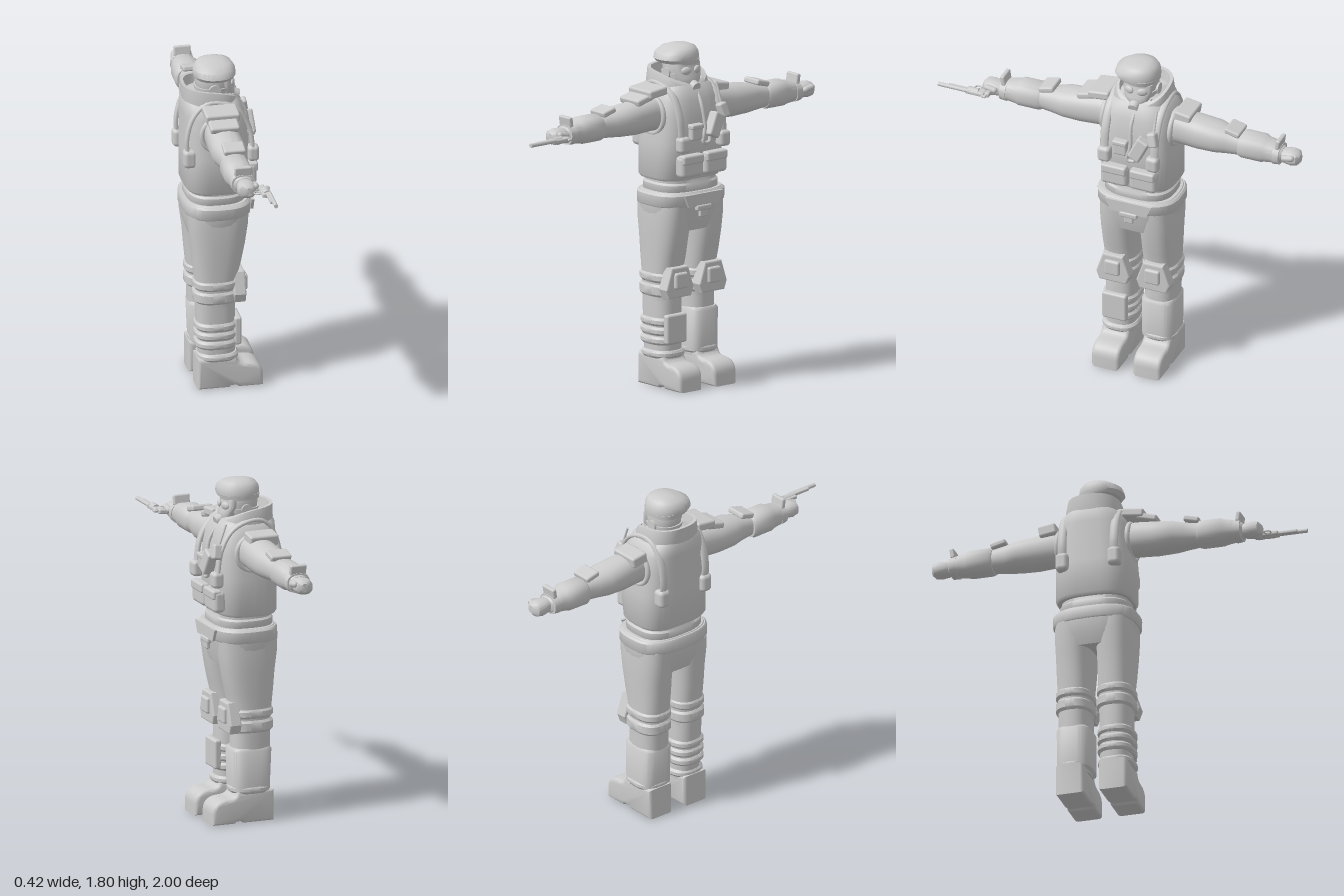
import * as THREE from 'three';
import { toCreasedNormals } from 'three/addons/utils/BufferGeometryUtils.js';
import { RoundedBoxGeometry } from 'three/addons/geometries/RoundedBoxGeometry.js';

const MID = -0.105; // body centre plane in z; the figure faces +x

// Closed skin through rounded sections [y, xMin, xMax, zMin, zMax] stacked along y
function loft(sections, power = 2.6, crease = 0.7, sides = 36) {
  const pos = [], idx = [], n = sections.length;
  const bend = v => Math.sign(v) * Math.pow(Math.abs(v), 2 / power);
  for (const [y, x0, x1, z0, z1] of sections) {
    for (let j = 0; j < sides; j++) {
      const a = j / sides * Math.PI * 2;
      pos.push((x0 + x1) / 2 + bend(Math.cos(a)) * (x1 - x0) / 2, y, (z0 + z1) / 2 + bend(Math.sin(a)) * (z1 - z0) / 2);
    }
  }
  for (const s of [sections[0], sections[n - 1]]) pos.push((s[1] + s[2]) / 2, s[0], (s[3] + s[4]) / 2);
  for (let j = 0; j < sides; j++) {
    const k = (j + 1) % sides;
    for (let i = 0; i < n - 1; i++) {
      const a = i * sides, b = a + sides;
      idx.push(a + j, b + j, a + k, b + j, b + k, a + k);
    }
    idx.push(n * sides, j, k, n * sides + 1, (n - 1) * sides + k, (n - 1) * sides + j);
  }
  const g = new THREE.BufferGeometry();
  g.setAttribute('position', new THREE.Float32BufferAttribute(pos, 3));
  g.setIndex(idx);
  return toCreasedNormals(g, crease);
}

// Skin along z from sections [z, xMin, xMax, yMin, yMax]
const loftZ = (s, power) => loft(s.map(([z, x0, x1, y0, y1]) => [z, x0, x1, -y1, -y0]), power).rotateX(Math.PI / 2);

// Rounded block given by its limits, with an optional turn about x and z
function block(x0, x1, y0, y1, z0, z1, rx = 0, rz = 0, r = 0.012) {
  const w = x1 - x0, h = y1 - y0, d = z1 - z0;
  return new RoundedBoxGeometry(w, h, d, 2, Math.min(r, w / 3, h / 3, d / 3))
    .rotateZ(rz).rotateX(rx).translate((x0 + x1) / 2, (y0 + y1) / 2, (z0 + z1) / 2);
}

// Flat strap following points [x, y] at depth z
function strap(points, z, r = 0.012, widen = 2) {
  const curve = new THREE.CatmullRomCurve3(points.map(([x, y]) => new THREE.Vector3(x, y, 0)));
  return new THREE.TubeGeometry(curve, 32, r, 8).scale(1, 1, widen).translate(0, 0, z);
}

// Reflection across the body plane, keeping faces outward
function mirrored(geo) {
  const g = geo.index ? geo.toNonIndexed() : geo.clone();
  for (const key of ['position', 'normal']) {
    const a = g.attributes[key];
    for (let i = 0; i < a.count; i++) a.setZ(i, key === 'position' ? 2 * MID - a.getZ(i) : -a.getZ(i));
    for (let i = 0; i < a.count; i += 3) {
      const p = [a.getX(i + 1), a.getY(i + 1), a.getZ(i + 1)];
      a.setXYZ(i + 1, a.getX(i + 2), a.getY(i + 2), a.getZ(i + 2));
      a.setXYZ(i + 2, ...p);
    }
  }
  return g;
}

export function createModel() {
  const model = new THREE.Group();
  model.name = 'soldier';
  const grey = new THREE.MeshStandardMaterial({ color: 0xcccccc });
  grey.name = 'light grey';
  const add = (name, geo) => {
    const m = new THREE.Mesh(geo, grey);
    m.name = name;
    model.add(m);
  };
  const pair = (name, geo) => { add(name + 'Right', geo); add(name + 'Left', mirrored(geo)); };

  // Torso, waist and hips
  add('vest', loft([[1.1, -0.185, 0.12, -0.3, 0.09], [1.115, -0.195, 0.13, -0.31, 0.1], [1.3, -0.195, 0.145, -0.31, 0.1],
    [1.43, -0.195, 0.14, -0.3, 0.09], [1.52, -0.195, 0.125, -0.29, 0.08], [1.58, -0.195, 0.1, -0.26, 0.05], [1.61, -0.18, 0.07, -0.22, 0.01]], 3.2));
  add('waistBand', loft([[1.02, -0.17, 0.12, -0.28, 0.07], [1.04, -0.18, 0.13, -0.295, 0.085], [1.075, -0.18, 0.13, -0.295, 0.085],
    [1.085, -0.172, 0.122, -0.285, 0.075], [1.12, -0.172, 0.122, -0.285, 0.075]], 2.8));
  add('hips', loft([[0.83, -0.165, 0.115, -0.29, 0.08], [0.89, -0.185, 0.132, -0.315, 0.105], [0.965, -0.195, 0.145, -0.32, 0.11],
    [1.025, -0.195, 0.155, -0.325, 0.115], [1.04, -0.185, 0.145, -0.31, 0.1]], 2.8));
  add('belt', loft([[0.965, -0.198, 0.15, -0.325, 0.115], [0.972, -0.202, 0.155, -0.33, 0.12], [1.025, -0.2, 0.158, -0.33, 0.12], [1.035, -0.195, 0.15, -0.32, 0.11]], 2.8));
  const flap = new THREE.Shape([[-0.13, 1.03], [-0.1, 0.965], [0.1, 0.965], [0.13, 1.03]].map(p => new THREE.Vector2(...p)));
  add('beltFlap', new THREE.ExtrudeGeometry(flap, { depth: 0.015, bevelEnabled: false }).rotateY(Math.PI / 2).translate(0.15, 0, MID));
  add('buckle', block(0.145, 0.172, 0.94, 0.97, MID - 0.05, MID + 0.05));
  add('buckleTab', block(0.145, 0.165, 0.905, 0.95, MID - 0.025, MID + 0.025));

  // Tall collar, cut lower towards the front
  const collar = loft([[1.53, -0.185, 0.09, -0.25, 0.04], [1.6, -0.195, 0.1, -0.26, 0.05], [1.67, -0.197, 0.09, -0.245, 0.035],
    [1.67, -0.18, 0.075, -0.23, 0.02], [1.6, -0.17, 0.07, -0.22, 0.01]], 2.5);
  const cp = collar.attributes.position;
  for (let i = 0; i < cp.count; i++) {
    const t = Math.max(0, (cp.getX(i) + 0.195) / 0.29);
    const lift = (cp.getY(i) - 1.53) * (1 - 0.22 * t - 0.4 * t ** 5);
    cp.setY(i, 1.53 + lift);
  }
  add('collar', toCreasedNormals(collar, 0.7));

  // Head, breathing mask and beret
  add('head', loft([[1.53, -0.09, 0.03, -0.16, -0.05], [1.59, -0.1, 0.05, -0.175, -0.035], [1.65, -0.12, 0.062, -0.187, -0.023],
    [1.71, -0.125, 0.064, -0.19, -0.02], [1.76, -0.1, 0.04, -0.17, -0.04]], 2.2));
  add('maskFace', loft([[1.555, 0, 0.065, -0.14, -0.07], [1.59, 0, 0.085, -0.165, -0.045], [1.63, 0, 0.082, -0.175, -0.035],
    [1.66, 0, 0.068, -0.185, -0.025], [1.7, 0, 0.062, -0.185, -0.025]], 2.2));
  add('maskFilter', new THREE.CylinderGeometry(0.026, 0.03, 0.045, 20).rotateZ(-Math.PI / 2 - 0.3).translate(0.085, 1.585, MID));
  pair('maskCheek', new THREE.CylinderGeometry(0.024, 0.026, 0.03, 18).rotateX(Math.PI / 2 - 0.3).translate(0.045, 1.59, -0.035));
  pair('maskLens', new THREE.SphereGeometry(0.028, 18, 12).scale(0.45, 0.75, 1).rotateY(-0.35).translate(0.066, 1.665, -0.068));
  pair('earCup', new THREE.CylinderGeometry(0.03, 0.03, 0.02, 18).rotateX(Math.PI / 2).translate(-0.035, 1.645, -0.022));
  add('headStrap', loft([[1.63, -0.126, 0.066, -0.192, -0.018], [1.65, -0.128, 0.068, -0.194, -0.016]], 2.2));
  add('beretBand', loft([[1.695, -0.13, 0.073, -0.195, -0.015], [1.72, -0.134, 0.08, -0.197, -0.011]], 2.2));
  add('beret', loft([[1.705, -0.132, 0.078, -0.196, 0.02], [1.725, -0.138, 0.083, -0.198, 0.04], [1.755, -0.135, 0.08, -0.194, 0.03],
    [1.78, -0.115, 0.062, -0.178, -0.01], [1.792, -0.08, 0.03, -0.15, -0.06], [1.796, -0.05, 0, -0.13, -0.08]], 2.2));

  // Arms with sleeves, bracers and fists
  pair('upperArm', loftZ([[0.03, -0.11, 0.06, 1.36, 1.54], [0.12, -0.115, 0.055, 1.36, 1.54], [0.22, -0.12, 0.06, 1.355, 1.53],
    [0.32, -0.12, 0.062, 1.36, 1.52], [0.38, -0.1, 0.045, 1.365, 1.505], [0.44, -0.09, 0.036, 1.37, 1.495], [0.48, -0.09, 0.034, 1.37, 1.49]], 2.3));
  pair('forearm', loftZ([[0.45, -0.1, 0.035, 1.365, 1.49], [0.465, -0.11, 0.042, 1.36, 1.5], [0.575, -0.108, 0.042, 1.36, 1.5],
    [0.595, -0.1, 0.035, 1.365, 1.49], [0.63, -0.095, 0.032, 1.37, 1.485], [0.675, -0.088, 0.03, 1.375, 1.47], [0.69, -0.07, 0.015, 1.39, 1.46]], 2.4));
  pair('cuff', loftZ([[0.645, -0.095, 0.036, 1.368, 1.48], [0.68, -0.092, 0.034, 1.372, 1.475]], 2.4));
  pair('fist', loftZ([[0.67, -0.06, 0.01, 1.395, 1.455], [0.7, -0.07, 0.018, 1.385, 1.46], [0.74, -0.076, 0.022, 1.38, 1.465],
    [0.77, -0.07, 0.018, 1.385, 1.46], [0.785, -0.045, 0, 1.4, 1.445]], 2.5));
  pair('thumb', new THREE.CapsuleGeometry(0.017, 0.04, 4, 10).rotateX(Math.PI / 2 - 0.2).translate(0.02, 1.435, 0.73));
  pair('elbowPlate', block(-0.085, 0.03, 1.495, 1.525, 0.375, 0.46, 0.25));
  pair('wristPlate', block(-0.075, 0.015, 1.465, 1.52, 0.655, 0.68, 0.15));
  pair('armSeam', new THREE.TorusGeometry(0.095, 0.014, 10, 36).translate(-0.03, 1.44, 0.085));
  add('shoulderPadUpper', block(-0.12, 0.06, 1.55, 1.595, 0.05, 0.17, 0.12));
  add('shoulderPadLower', block(-0.11, 0.045, 1.525, 1.56, 0.13, 0.24, 0.25));
  add('shoulderBandLeft', block(-0.13, 0.03, 1.5, 1.56, -0.395, -0.3, -0.15));

  // Harness and pouches on the vest
  pair('harnessStrap', strap([[-0.185, 1.3], [-0.195, 1.4], [-0.16, 1.53], [-0.09, 1.6], [0, 1.595], [0.08, 1.55], [0.135, 1.45], [0.155, 1.32]], 0.035));
  pair('backPouch', block(-0.215, -0.145, 1.25, 1.35, 0, 0.07, 0, 0, 0.025));
  pair('frontPouch', block(0.125, 0.185, 1.26, 1.345, -0.005, 0.065, 0, 0, 0.025));
  pair('bellyPouch', block(0.11, 0.175, 1.125, 1.24, -0.1, 0.05, 0, 0, 0.022));
  pair('bellyPouchFlap', block(0.13, 0.182, 1.195, 1.245, -0.095, 0.045));
  add('chestBox', block(0.125, 0.17, 1.315, 1.4, -0.095, -0.02));
  add('chestBoxLid', block(0.13, 0.178, 1.375, 1.402, -0.098, -0.017));
  add('chestHolster', block(0.14, 0.2, 1.32, 1.45, -0.205, -0.135, -0.45, 0.08));
  add('radio', block(0.13, 0.18, 1.41, 1.49, -0.265, -0.215, 0.25, 0.2));
  add('antenna', new THREE.CylinderGeometry(0.006, 0.006, 0.13, 8).rotateZ(0.35).translate(0.125, 1.53, -0.24));
  const hosePath = [[0.09, 1.57, -0.115], [0.14, 1.49, -0.11], [0.16, 1.38, -0.115], [0.165, 1.3, -0.1], [0.165, 1.3, -0.14], [0.16, 1.36, -0.15]];
  add('hose', new THREE.TubeGeometry(new THREE.CatmullRomCurve3(hosePath.map(p => new THREE.Vector3(...p))), 40, 0.01, 8));

  // Trouser legs and knee guards
  pair('thigh', loft([[0.46, -0.14, 0.06, -0.082, 0.092], [0.6, -0.15, 0.07, -0.085, 0.095], [0.7, -0.16, 0.095, -0.089, 0.1],
    [0.8, -0.168, 0.115, -0.092, 0.104], [0.9, -0.182, 0.13, -0.1, 0.108], [0.97, -0.185, 0.135, -0.1, 0.105]], 2.6));
  const ring = (y0, y1, x0, x1, z0, z1) => loft([[y0, x0 + 0.01, x1 - 0.01, z0 + 0.01, z1 - 0.01], [y0 + 0.012, x0, x1, z0, z1],
    [y1 - 0.012, x0, x1, z0, z1], [y1, x0 + 0.01, x1 - 0.01, z0 + 0.01, z1 - 0.01]], 2.6);
  for (const [y0, y1] of [[0.555, 0.605], [0.48, 0.545]]) pair('kneeBand', ring(y0, y1, -0.158, 0.08, -0.092, 0.104));
  const knee = new THREE.Shape([[-0.085, 0.53], [-0.05, 0.635], [0.05, 0.635], [0.085, 0.53], [0.07, 0.49], [-0.07, 0.49]].map(p => new THREE.Vector2(...p)));
  pair('kneePad', new THREE.ExtrudeGeometry(knee, { depth: 0.05, bevelSize: 0.008, bevelThickness: 0.008, bevelSegments: 2 })
    .rotateY(Math.PI / 2).translate(0.05, 0, 0.008));
  pair('kneeCap', block(0.085, 0.125, 0.53, 0.615, -0.035, 0.05));

  // Lower legs: banded guard on the right, smooth gaiter on the left
  pair('shin', loft([[0.14, -0.13, 0.06, -0.075, 0.085], [0.3, -0.14, 0.065, -0.08, 0.09], [0.5, -0.145, 0.06, -0.08, 0.092]], 2.6));
  for (const y of [0.225, 0.275, 0.325]) add('shinBand', ring(y, y + 0.043, -0.15, 0.072, -0.09, 0.105));
  add('shinPlate', block(0.05, 0.088, 0.235, 0.39, -0.058, 0.078));
  add('gaiter', loft([[0.165, -0.135, 0.072, -0.308, -0.122], [0.38, -0.145, 0.078, -0.308, -0.122], [0.395, -0.135, 0.068, -0.298, -0.132]], 3.4));
  pair('ankleBand', ring(0.155, 0.195, -0.14, 0.078, -0.09, 0.105));

  // Boots with an arched sole
  const side = new THREE.Shape();
  side.moveTo(-0.125, 0.02).lineTo(-0.125, 0.15).lineTo(0.045, 0.15).quadraticCurveTo(0.06, 0.115, 0.11, 0.113)
    .quadraticCurveTo(0.18, 0.112, 0.18, 0.06).lineTo(0.18, 0.02).lineTo(0.08, 0.02).lineTo(0.07, 0.03).lineTo(0.025, 0.03).lineTo(0.015, 0.02);
  const boot = new THREE.ExtrudeGeometry(side, { depth: 0.115, bevelSize: 0.02, bevelThickness: 0.02, bevelSegments: 4, curveSegments: 10 });
  pair('boot', toCreasedNormals(boot.translate(0, 0, -0.046), 0.7));

  // Revolver lying flat in the right hand
  const rod = (r, z0, z1, x, y) => new THREE.CylinderGeometry(r, r, z1 - z0, 14).rotateX(Math.PI / 2).translate(x, y, (z0 + z1) / 2);
  add('gunBarrel', rod(0.011, 0.83, 1, 0.076, 1.43));
  add('gunUnderBarrel', block(0.055, 0.08, 1.421, 1.439, 0.83, 0.95));
  add('gunCylinder', rod(0.02, 0.78, 0.835, 0.062, 1.426));
  add('gunFrame', block(0.035, 0.086, 1.414, 1.436, 0.745, 0.85));
  add('gunGrip', block(0, 0.07, 1.405, 1.432, 0.72, 0.76, 0, 0.1));
  add('gunHammer', block(0.07, 0.095, 1.418, 1.43, 0.73, 0.755));
  add('triggerGuard', new THREE.TorusGeometry(0.018, 0.004, 8, 20).rotateX(Math.PI / 2).translate(0.02, 1.423, 0.8));
  return model;
}
